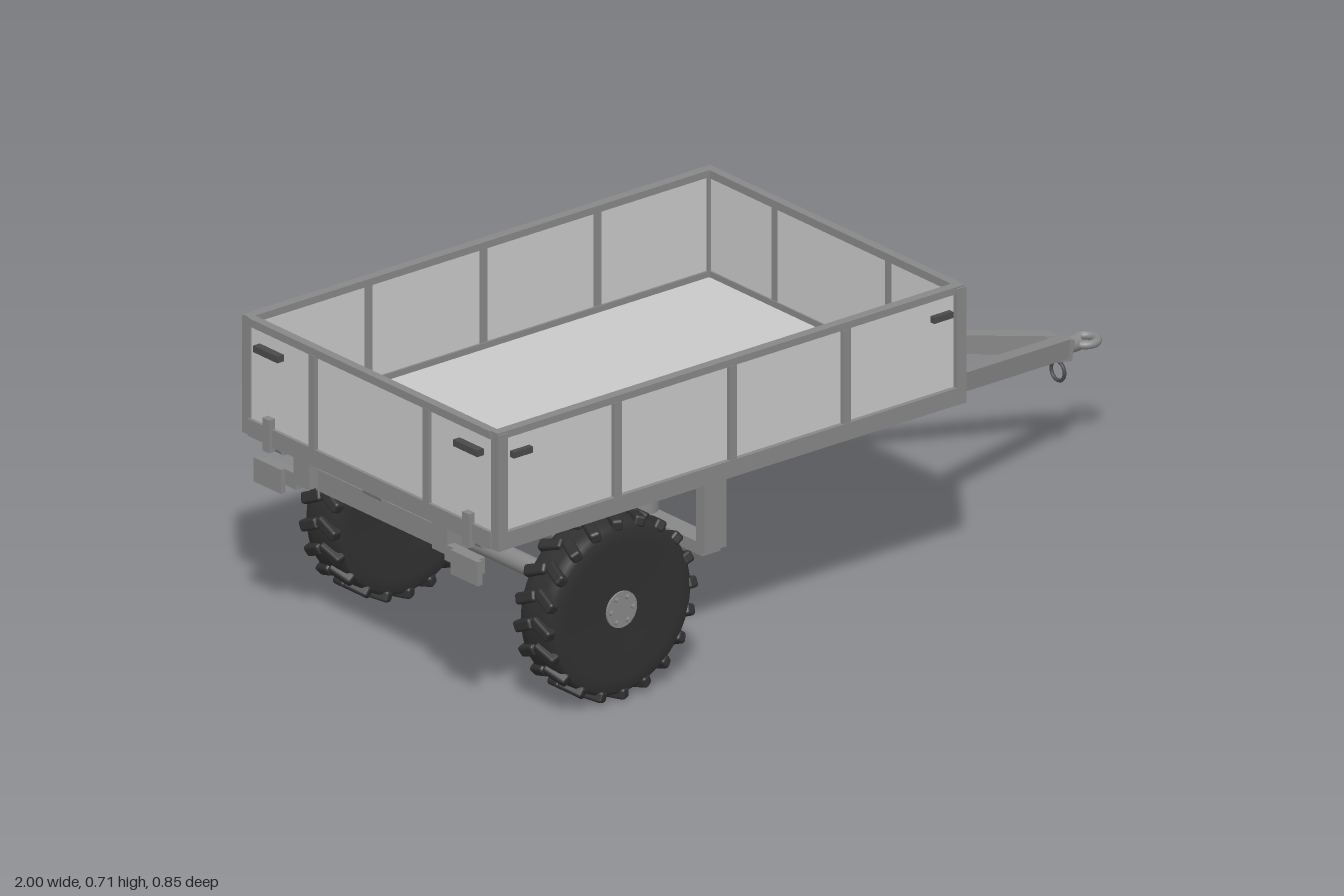
import * as THREE from 'three';
import { mergeGeometries } from 'three/addons/utils/BufferGeometryUtils.js';
import { RoundedBoxGeometry } from 'three/addons/geometries/RoundedBoxGeometry.js';

const mat = (name, color) => new THREE.MeshStandardMaterial({ name, color });

export function createModel() {
  const root = new THREE.Group();
  root.name = 'tippingTrailer';
  const panel = mat('lightGreyPanel', 0xc8c8c8);
  const steel = mat('greySteel', 0x888888);
  const rubber = mat('blackRubber', 0x303030);
  const dark = mat('darkFitting', 0x4a4a4a);

  const add = (name, geo, m, x = 0, y = 0, z = 0, parent = root) => {
    const mesh = new THREE.Mesh(geo, m);
    mesh.name = name;
    mesh.position.set(x, y, z);
    parent.add(mesh);
    return mesh;
  };
  // box given by its min and max on every axis
  const box = (name, m, x0, x1, y0, y1, z0, z1, parent = root) =>
    add(name, new THREE.BoxGeometry(x1 - x0, y1 - y0, z1 - z0), m,
      (x0 + x1) / 2, (y0 + y1) / 2, (z0 + z1) / 2, parent);
  // box centred on z
  const zbox = (name, m, x0, x1, y0, y1, z, w, parent = root) =>
    box(name, m, x0, x1, y0, y1, z - w / 2, z + w / 2, parent);
  // rectangular bar between two points
  const beam = (name, m, a, b, w, h) => {
    const mesh = add(name, new THREE.BoxGeometry(w, h, a.distanceTo(b)), m);
    mesh.position.copy(a).lerp(b, 0.5);
    mesh.lookAt(b);
    return mesh;
  };
  const V = (x, y, z) => new THREE.Vector3(x, y, z);

  // cargo bed
  const bed = new THREE.Group();
  bed.name = 'cargoBed';
  root.add(bed);
  box('floor', panel, -0.97, 0.275, 0.452, 0.462, -0.405, 0.405, bed);
  box('underFloor', steel, -0.97, 0.275, 0.44, 0.452, -0.405, 0.405, bed);

  // long side walls with frames and latches
  for (const s of [1, -1]) {
    const side = new THREE.Group();
    side.name = s > 0 ? 'frontSideWall' : 'backSideWall';
    bed.add(side);
    zbox('sidePanel', panel, -0.97, 0.28, 0.46, 0.698, s * 0.408, 0.008, side);
    zbox('bottomRail', steel, -0.975, 0.29, 0.437, 0.476, s * 0.411, 0.024, side);
    zbox('topRail', steel, -0.985, 0.288, 0.69, 0.706, s * 0.41, 0.022, side);
    for (const x of [-0.657, -0.343, -0.033])
      zbox('sidePost', steel, x - 0.01, x + 0.01, 0.476, 0.69, s * 0.412, 0.02, side);
    for (const x of [-0.972, 0.278])
      zbox('cornerPost', steel, x - 0.013, x + 0.013, 0.437, 0.702, s * 0.411, 0.026, side);
    for (const x of [-0.918, 0.228])
      zbox('sideLatch', dark, x - 0.026, x + 0.026, 0.64, 0.654, s * 0.418, 0.014, side);
  }

  // end walls: headboard and tailgate
  for (const [name, x, d] of [['headboard', 0.279, 1], ['tailgate', -0.979, -1]]) {
    const end = new THREE.Group();
    end.name = name;
    bed.add(end);
    const bar = (n, m, off, t, y0, y1, z, w) =>
      zbox(n, m, x + d * off - t / 2, x + d * off + t / 2, y0, y1, z, w, end);
    bar('endPanel', panel, -0.002, 0.008, 0.46, 0.698, 0, 0.8);
    bar('bottomRail', steel, 0, 0.02, 0.437, 0.476, 0, 0.8);
    bar('topRail', steel, 0, 0.02, 0.688, 0.706, 0, 0.8);
    for (const z of [-0.188, 0.188]) bar('endPost', steel, 0.002, 0.018, 0.462, 0.69, z, 0.02);
    if (d < 0) for (const z of [-0.33, 0.33]) {
      bar('tailgateHandle', dark, 0.011, 0.018, 0.64, 0.655, z, 0.08);
      bar('hingePlate', steel, 0.011, 0.016, 0.425, 0.5, z, 0.022);
    }
  }
  // hinge barrels below the tailgate
  for (const z of [-0.33, 0, 0.33])
    add('hingeBarrel', new THREE.CylinderGeometry(0.014, 0.014, 0.06, 16).rotateX(Math.PI / 2),
      steel, -0.968, 0.433, z, bed);

  // chassis rails and cross members
  for (const s of [1, -1])
    zbox('chassisRail', steel, -0.985, 0.285, 0.375, 0.44, s * 0.228, 0.05);
  for (const x of [-0.94, -0.635, -0.243, -0.05, 0.1, 0.24])
    zbox('crossMember', steel, x - 0.02, x + 0.02, 0.367, 0.416, 0, 0.42);

  // rear lamp brackets and plates
  for (const s of [1, -1]) {
    zbox('lampBracket', steel, -0.985, -0.965, 0.362, 0.398, s * 0.3, 0.11);
    zbox('lampPlate', steel, -0.998, -0.985, 0.345, 0.4, s * 0.325, 0.09);
  }

  // A-shaped drawbar
  for (const s of [1, -1])
    beam('drawbarArm', steel, V(0.215, 0.388, s * 0.232), V(0.89, 0.27, s * 0.016), 0.034, 0.042);
  const slope = Math.atan2(-0.118, 0.675);
  box('couplerBlock', steel, 0.855, 0.91, 0.243, 0.29, -0.028, 0.028).rotation.z = slope;
  add('couplerShank', new THREE.CylinderGeometry(0.019, 0.019, 0.05, 20).rotateZ(Math.PI / 2),
    steel, 0.918, 0.263, 0);
  add('towEye', new THREE.TorusGeometry(0.027, 0.0095, 12, 32).rotateX(Math.PI / 2),
    steel, 0.9635, 0.262, 0);
  add('safetyRing', new THREE.TorusGeometry(0.022, 0.004, 8, 28).rotateY(Math.PI / 2),
    dark, 0.89, 0.212, 0);

  // hanging frame that carries the lifting ram
  const rx = -0.243;
  for (const s of [1, -1])
    zbox('ramHanger', steel, rx - 0.03, rx + 0.03, 0.185, 0.38, s * 0.228, 0.028);
  zbox('ramCrossbar', steel, rx - 0.025, rx + 0.025, 0.172, 0.2, 0, 0.456);
  const ram = [[0, 0.112], [0.02, 0.112], [0.02, 0.15], [0.028, 0.15], [0.028, 0.19],
    [0.035, 0.19], [0.035, 0.45], [0, 0.45]];
  add('liftingRam', new THREE.LatheGeometry(ram.flatMap(([r, y], i) =>
    i && i < ram.length - 1 ? [new THREE.Vector2(r, y), new THREE.Vector2(r, y)] : [new THREE.Vector2(r, y)]), 28),
    steel, rx, 0, 0);
  add('ramDome', new THREE.SphereGeometry(0.035, 24, 8, 0, Math.PI * 2, 0, Math.PI / 2)
    .scale(1, 0.45, 1), steel, rx, 0.46, 0);

  // axle with its rail brackets
  const ax = -0.636, ay = 0.208;
  add('axle', new THREE.CylinderGeometry(0.022, 0.022, 0.62, 24).rotateX(Math.PI / 2), steel, ax, ay, 0);
  for (const s of [1, -1])
    zbox('axleBracket', steel, ax - 0.03, ax + 0.03, 0.188, 0.38, s * 0.228, 0.028);

  // wheels: carcass, chevron lugs and bolted hub
  const profile = [[0.03, -0.05], [0.09, -0.052], [0.155, -0.056], [0.183, -0.055], [0.193, -0.046],
    [0.196, -0.02], [0.196, 0.02], [0.193, 0.046], [0.183, 0.055], [0.155, 0.056], [0.09, 0.052], [0.03, 0.05]];
  const tyreGeo = new THREE.LatheGeometry(profile.map(([r, y]) => new THREE.Vector2(r, y)), 48)
    .rotateX(Math.PI / 2);
  const lugs = [];
  for (let i = 0; i < 20; i++) for (const s of [1, -1])
    lugs.push(new RoundedBoxGeometry(0.026, 0.026, 0.06, 2, 0.007)
      .rotateX(-s * 0.42).translate(0.194, 0, s * 0.029)
      .rotateZ((i + (s > 0 ? 0 : 0.15)) * Math.PI / 10));
  const lugGeo = mergeGeometries(lugs);
  const hubGeo = new THREE.CylinderGeometry(0.041, 0.041, 0.11, 32).rotateX(Math.PI / 2);
  const boltGeo = new THREE.CylinderGeometry(0.006, 0.006, 0.124, 6).rotateX(Math.PI / 2);
  for (const s of [1, -1]) {
    const wheel = new THREE.Group();
    wheel.name = s > 0 ? 'frontSideWheel' : 'backSideWheel';
    wheel.position.set(ax, ay, s * 0.354);
    root.add(wheel);
    add('tyre', tyreGeo, rubber, 0, 0, 0, wheel);
    add('treadLugs', lugGeo, rubber, 0, 0, 0, wheel);
    add('hub', hubGeo, steel, 0, 0, 0, wheel);
    for (let i = 0; i < 6; i++)
      add('wheelBolt', boltGeo, steel, 0.03 * Math.cos(i * Math.PI / 3), 0.03 * Math.sin(i * Math.PI / 3), 0, wheel);
  }
  return root;
}
